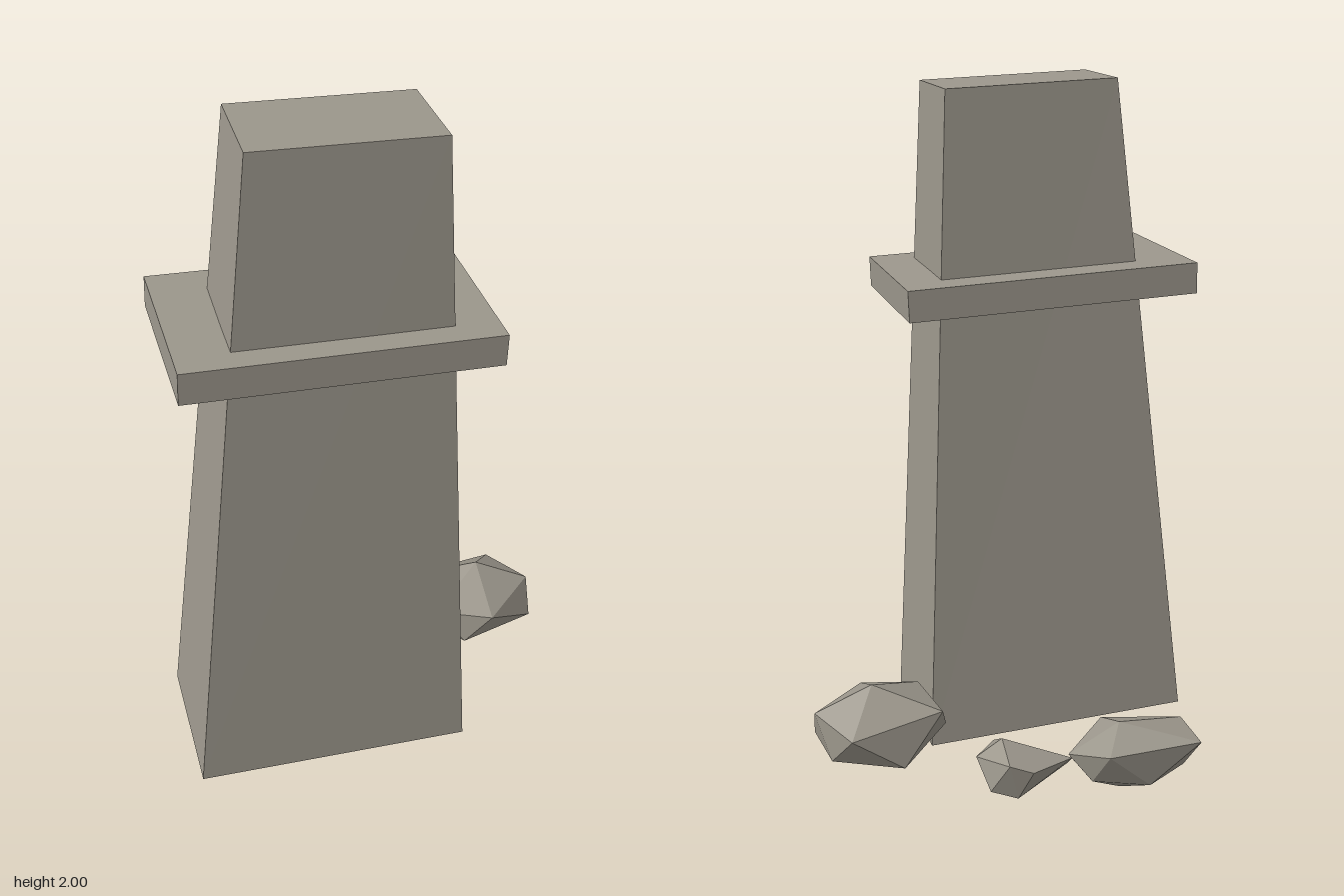
import * as THREE from 'three';
import { ConvexGeometry } from 'three/addons/geometries/ConvexGeometry.js';

const stone = new THREE.MeshStandardMaterial({ color: 0x9c978c });
stone.name = 'weathered stone';

// Six-sided block from four bottom and four top corners,
// each ordered back left, back right, front right, front left as seen from the front.
function block(name, bottom, top) {
  const geometry = new THREE.BoxGeometry(1, 1, 1).toNonIndexed();
  const p = geometry.attributes.position;
  for (let i = 0; i < p.count; i++) {
    const right = p.getX(i) > 0;
    const corner = p.getZ(i) > 0 ? (right ? 2 : 3) : (right ? 1 : 0);
    p.setXYZ(i, ...(p.getY(i) > 0 ? top : bottom)[corner]);
  }
  geometry.computeVertexNormals();
  const mesh = new THREE.Mesh(geometry, stone);
  mesh.name = name;
  return mesh;
}

// Faceted boulder: top point, upper ring, lower ring, bottom point
function rock(name, points) {
  const mesh = new THREE.Mesh(new ConvexGeometry(points.map((p) => new THREE.Vector3(...p))), stone);
  mesh.name = name;
  return mesh;
}

export function createModel() {
  const model = new THREE.Group();
  model.name = 'stonePillar';

  // Leaning tapered shaft
  model.add(block('shaft',
    [[-0.58, 0.06, 0.015], [0.225, 0.035, -0.04], [0.25, 0.03, 0.4], [-0.55, 0.055, 0.46]],
    [[-0.36, 2, 0.11], [0.14, 1.985, 0.075], [0.16, 1.98, 0.36], [-0.345, 1.995, 0.395]]));

  // Flat collar around the shaft
  const collarTop = [[-0.578, 1.485, 0], [0.275, 1.46, -0.06], [0.31, 1.453, 0.435], [-0.54, 1.477, 0.495]];
  const collarBottom = collarTop.map(([x, y, z]) => [x - 0.003, y - 0.09, z - 0.001]);
  model.add(block('collar', collarBottom, collarTop));

  // Rocks beside and behind the base
  model.add(rock('sideRock', [
    [0.41, 0.285, -0.08],
    [0.42, 0.2, 0.1], [0.58, 0.205, -0.07], [0.49, 0.185, -0.23], [0.21, 0.21, -0.15], [0.25, 0.21, 0.05],
    [0.335, 0.11, 0.09], [0.575, 0.105, 0], [0.54, 0.08, -0.14], [0.335, 0.07, -0.21], [0.185, 0.12, -0.06],
    [0.375, 0.03, -0.06],
  ]));
  model.add(rock('largeBackRock', [
    [-0.265, 0.235, -0.365],
    [-0.485, 0.19, -0.455], [-0.2, 0.2, -0.5], [-0.11, 0.16, -0.385], [-0.245, 0.19, -0.25], [-0.475, 0.19, -0.3],
    [-0.35, 0.1, -0.205], [-0.145, 0.09, -0.29], [-0.17, 0.09, -0.43], [-0.33, 0.08, -0.47], [-0.46, 0.08, -0.38],
    [-0.28, 0.005, -0.34],
  ]));
  model.add(rock('smallBackRock', [
    [0.075, 0.21, -0.34],
    [0.08, 0.19, -0.465], [0.15, 0.16, -0.34], [0.075, 0.14, -0.225], [-0.12, 0.15, -0.39], [0.015, 0.17, -0.48],
    [0.125, 0.09, -0.42], [0.03, 0.07, -0.26], [-0.125, 0.1, -0.33], [0.05, 0.07, -0.44],
    [0.04, 0.04, -0.35],
  ]));

  return model;
}
